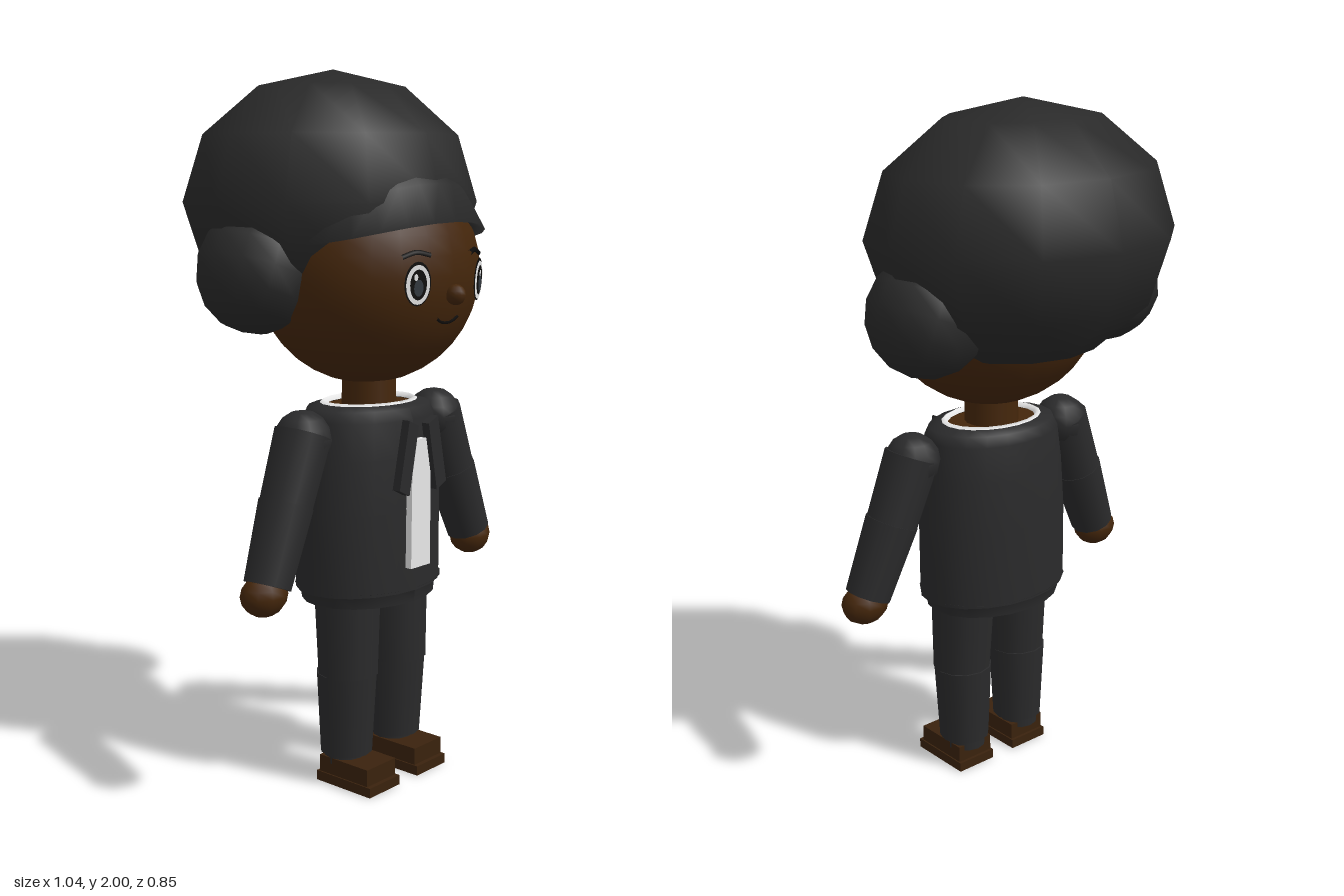
import * as THREE from 'three';

export function createModel() {
  const root = new THREE.Group();
  const mat = (name, color, side = THREE.FrontSide) => {
    const m = new THREE.MeshStandardMaterial({ color, side });
    m.name = name;
    return m;
  };
  const skin = mat('skin', 0x44260b);
  const hairMat = mat('hair', 0x292929, THREE.DoubleSide);
  const cloth = mat('suit', 0x2a2a2b, THREE.DoubleSide);
  const white = mat('white', 0xf0f0f0, THREE.DoubleSide);
  const shoeMat = mat('shoe leather', 0x3a220d);
  const black = mat('black', 0x0e0c0b);
  const iris = mat('iris', 0x343a40);

  const add = (name, geo, material, x = 0, y = 0, z = 0, parent = root) => {
    const m = new THREE.Mesh(geo, material);
    m.name = name;
    m.position.set(x, y, z);
    parent.add(m);
    return m;
  };
  const V = (x, y, z) => new THREE.Vector3(x, y, z);
  const UP = V(0, 1, 0);
  // tapered limb from a to b
  const limb = (name, a, b, ra, rb, material, sides = 12) => {
    const d = a.clone().sub(b);
    const m = add(name, new THREE.CylinderGeometry(ra, rb, d.length(), sides), material);
    m.position.copy(a).add(b).multiplyScalar(0.5);
    m.quaternion.setFromUnitVectors(UP, d.normalize());
    return m;
  };
  const lathe = (name, pts, material, depth) => {
    const g = new THREE.LatheGeometry(pts.map(p => new THREE.Vector2(...p)), 20);
    g.scale(1, 1, depth);
    g.computeVertexNormals();
    return add(name, g, material, 0, 0, 0.095);
  };

  // head
  const HC = V(0, 1.45, 0.09), HR = V(0.33, 0.31, 0.3);
  const onFace = (x, y, off = 0) => {
    const dx = x / HR.x, dy = (y - HC.y) / HR.y;
    return V(x, y, HC.z + off + HR.z * Math.sqrt(1 - dx * dx - dy * dy));
  };
  add('head', new THREE.SphereGeometry(1, 24, 18).scale(HR.x, HR.y, HR.z), skin, 0, HC.y, HC.z);
  add('neck', new THREE.CylinderGeometry(0.075, 0.08, 0.16, 14), skin, 0, 1.12, 0.095);
  add('nose', new THREE.SphereGeometry(0.028, 10, 8), skin, 0, 1.4, 0.396);

  // hair mass, open at the bottom
  add('hair', new THREE.SphereGeometry(1, 12, 5, 0, Math.PI * 2, 0, Math.PI * 5 / 6)
    .scale(0.455, 0.36, 0.383), hairMat, 0, 1.64, -0.04);

  // fringe: rows of [rx, rz, y] swept round the forehead
  const rows = [[0.22, 0.16, 1.76], [0.3, 0.235, 1.69], [0.345, 0.295, 1.59], [0.29, 0.24, 1.6]];
  const fringe = new THREE.PlaneGeometry(2, 1, 14, 3);
  const fp = fringe.attributes.position;
  for (let i = 0; i < fp.count; i++) {
    const a = fp.getX(i) * 1.65;
    const [rx, rz, y] = rows[Math.floor(i / 15)];
    fp.setXYZ(i, rx * Math.sin(a), y - 0.06 * Math.sin(a) ** 2, 0.1 + rz * Math.cos(a));
  }
  fringe.computeVertexNormals();
  add('fringe', fringe, hairMat);

  // face line drawn on the head surface
  const faceLine = (name, pts, r) => add(name, new THREE.TubeGeometry(
    new THREE.CatmullRomCurve3(pts.map(p => onFace(p[0], p[1], 0.001))), 10, r, 5), black);
  faceLine('mouth', [[-0.045, 1.338], [-0.02, 1.326], [0.02, 1.326], [0.045, 1.338]], 0.004);

  // jacket, hem, collar and the body inside
  lathe('jacket', [[0.238, 0.57], [0.238, 0.8], [0.228, 0.95], [0.215, 1.05], [0.2, 1.08], [0.155, 1.09]], cloth, 0.74);
  lathe('jacketHem', [[0.215, 0.535], [0.22, 0.575], [0.237, 0.58]], cloth, 0.78);
  lathe('collar', [[0.14, 1.082], [0.148, 1.096], [0.16, 1.09]], white, 0.74);
  const body = add('body', new THREE.CylinderGeometry(0.145, 0.19, 0.535, 16), skin, 0, 0.8125, 0.095);
  body.scale.z = 0.74;

  // shirt front
  const shirt = new THREE.Shape([[-0.042, 0.64], [0.042, 0.64], [0.04, 0.9], [0.02, 1.0], [-0.02, 1.0], [-0.04, 0.9]]
    .map(p => new THREE.Vector2(...p)));
  add('shirtFront', new THREE.ExtrudeGeometry(shirt, { depth: 0.02, bevelEnabled: false }), white, 0, 0, 0.266);

  for (const s of [1, -1]) {
    const side = s > 0 ? 'left' : 'right';

    // hair puff
    add(side + 'HairPuff', new THREE.SphereGeometry(0.168, 12, 8), hairMat, s * 0.318, 1.458, -0.025)
      .rotation.z = s * 0.36;

    // eye: stacked thin discs
    const eye = new THREE.Group();
    eye.name = side + 'Eye';
    const c = onFace(s * 0.128, 1.432);
    const n = c.clone().sub(HC).divide(HR).divide(HR).normalize();
    eye.position.copy(c).addScaledVector(n, 0.006);
    eye.lookAt(eye.position.clone().add(n));
    root.add(eye);
    const disc = (name, w, h, m, x, y, z) =>
      add(name, new THREE.CircleGeometry(1, 20).scale(w, h, 1), m, x, y, z, eye);
    disc('eyeOutline', 0.04, 0.058, black, 0, 0.002, 0);
    disc('eyeWhite', 0.036, 0.052, white, 0, 0, 0.002);
    disc('pupil', 0.025, 0.04, black, 0, 0, 0.004);
    disc('iris', 0.014, 0.022, iris, 0, -0.008, 0.006);
    disc('eyeGlint', 0.006, 0.009, white, -0.01, 0.02, 0.008);
    faceLine(side + 'Brow', [[s * 0.085, 1.506], [s * 0.125, 1.514], [s * 0.165, 1.502]], 0.007);

    // tie ribbon
    const ribbon = new THREE.Shape([[0.022, 1.04], [0.062, 1.058], [0.102, 0.87], [0.06, 0.85]]
      .map(p => new THREE.Vector2(s * p[0], p[1])));
    add(side + 'Ribbon', new THREE.ExtrudeGeometry(ribbon, { depth: 0.025, bevelEnabled: false }), cloth, 0, 0, 0.268);

    // arm
    add(side + 'Shoulder', new THREE.SphereGeometry(0.08, 12, 8), cloth, s * 0.283, 1.015, 0.105);
    limb(side + 'UpperSleeve', V(s * 0.283, 1.03, 0.105), V(s * 0.358, 0.84, 0.11), 0.08, 0.074, cloth);
    limb(side + 'LowerSleeve', V(s * 0.355, 0.85, 0.11), V(s * 0.438, 0.645, 0.12), 0.077, 0.066, cloth);
    add(side + 'Hand', new THREE.SphereGeometry(1, 10, 8).scale(0.07, 0.058, 0.058), skin, s * 0.45, 0.623, 0.12);

    // leg
    limb(side + 'UpperLeg', V(s * 0.104, 0.6, 0.105), V(s * 0.108, 0.32, 0.112), 0.097, 0.086, cloth);
    limb(side + 'LowerLeg', V(s * 0.108, 0.325, 0.107), V(s * 0.107, 0.09, 0.105), 0.087, 0.075, cloth);
    limb(side + 'Ankle', V(s * 0.107, 0.1, 0.1), V(s * 0.107, 0.06, 0.1), 0.06, 0.06, cloth);

    // shoe
    add(side + 'ShoeSole', new THREE.BoxGeometry(0.13, 0.028, 0.2), shoeMat, s * 0.105, 0.014, 0.148);
    add(side + 'ShoeUpper', new THREE.BoxGeometry(0.122, 0.05, 0.178), shoeMat, s * 0.105, 0.052, 0.146);
  }
  return root;
}
